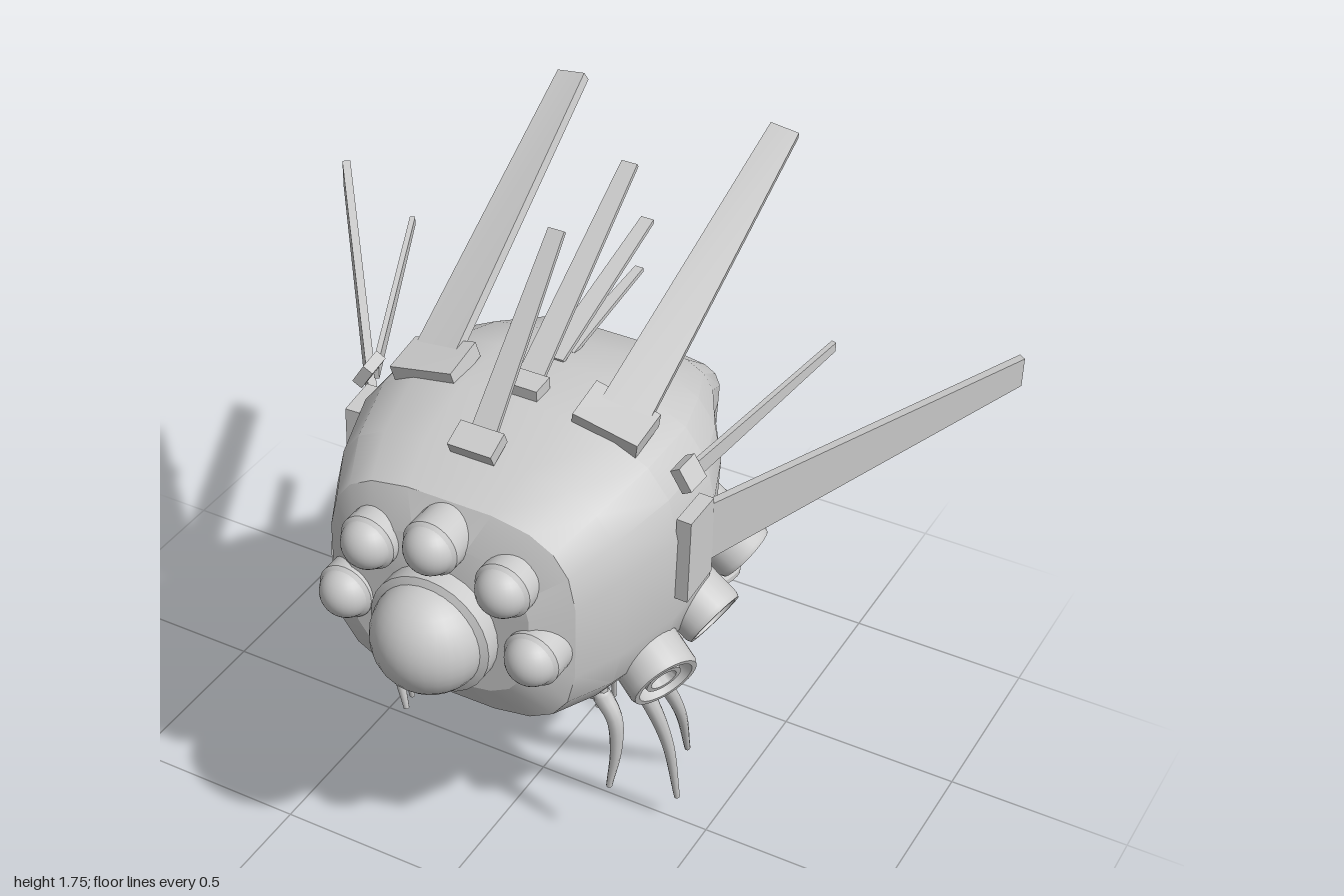
import * as THREE from 'three';
import { toCreasedNormals } from 'three/addons/utils/BufferGeometryUtils.js';

const V = (x, y, z) => new THREE.Vector3(x, y, z);
const UP = V(0, 1, 0);

export function createModel() {
  const model = new THREE.Group();
  const mat = new THREE.MeshStandardMaterial({ color: 0xcccccc });

  const add = (name, geo, parent = model) => {
    const m = new THREE.Mesh(geo, mat);
    m.name = name;
    parent.add(m);
    return m;
  };

  // Flat plate spanning four corners, thickened along its normal
  function slab(name, a, b, c, d, t) {
    const n = b.clone().sub(a).cross(d.clone().sub(a)).normalize();
    const geo = new THREE.BoxGeometry(1, 1, 1);
    const p = geo.attributes.position;
    for (let i = 0; i < p.count; i++) {
      const u = p.getX(i) + 0.5, v = p.getY(i) + 0.5;
      const q = a.clone().lerp(b, u).lerp(d.clone().lerp(c, u), v).addScaledVector(n, p.getZ(i) * t);
      p.setXYZ(i, q.x, q.y, q.z);
    }
    geo.computeVertexNormals();
    return add(name, geo);
  }

  // Tube along a curve, narrowing from r0 to r1
  function taper(name, curve, r0, r1, segs, sides) {
    const geo = new THREE.TubeGeometry(curve, segs, r0, sides);
    const p = geo.attributes.position;
    for (let i = 0; i <= segs; i++) {
      const c = curve.getPointAt(i / segs);
      const k = 1 + (r1 / r0 - 1) * i / segs;
      for (let j = 0; j <= sides; j++) {
        const id = i * (sides + 1) + j;
        const q = V(0, 0, 0).fromBufferAttribute(p, id).sub(c).multiplyScalar(k).add(c);
        p.setXYZ(id, q.x, q.y, q.z);
      }
    }
    return add(name, geo);
  }

  // Hull sections: top z,y, bottom z,y, half width, squareness
  const sections = [
    [0.50, 1.12, 0.52, 0.72, 0.25, 3],
    [0.45, 1.21, 0.45, 0.61, 0.345, 3.4],
    [0.33, 1.27, 0.32, 0.585, 0.405, 3.4],
    [0.15, 1.32, 0.15, 0.57, 0.46, 3.2],
    [-0.04, 1.325, -0.02, 0.58, 0.465, 3.2],
    [-0.20, 1.29, -0.14, 0.68, 0.41, 3.2],
    [-0.38, 1.21, -0.25, 0.82, 0.31, 3.8],
    [-0.54, 1.09, -0.33, 0.80, 0.25, 5],
    [-0.615, 0.80, -0.51, 0.67, 0.195, 5],
  ];
  const N = 20, pos = [], idx = [];
  const pw = (v, n) => Math.sign(v) * Math.abs(v) ** (2 / n);
  for (const [zt, yt, zb, yb, w, n] of sections) {
    for (let j = 0; j < N; j++) {
      const a = (j + 0.5) / N * Math.PI * 2, k = pw(Math.sin(a), n);
      pos.push(w * pw(Math.cos(a), n), (yt + yb) / 2 + k * (yt - yb) / 2, (zt + zb) / 2 + k * (zt - zb) / 2);
    }
  }
  const last = sections.length - 1, cap = sections.length * N;
  for (const [zt, yt, zb, yb] of [sections[0], sections[last]]) pos.push(0, (yt + yb) / 2, (zt + zb) / 2);
  for (let j = 0; j < N; j++) {
    const k = (j + 1) % N;
    for (let i = 0; i < last; i++) {
      const a = i * N + j, b = i * N + k;
      idx.push(a, a + N, b, b, a + N, b + N);
    }
    idx.push(cap, j, k, cap + 1, last * N + k, last * N + j);
  }
  const hull = new THREE.BufferGeometry();
  hull.setAttribute('position', new THREE.Float32BufferAttribute(pos, 3));
  hull.setIndex(idx);
  add('hull', toCreasedNormals(hull, 0.45));

  // Eyes: dome in a short socket
  function eye(name, x, y, z, r, ringR, depth) {
    const g = new THREE.Group();
    g.name = name;
    g.position.set(x, y, z);
    add('eyeball', new THREE.SphereGeometry(r, 28, 18), g);
    const prof = [[0.01, -depth], [ringR, -depth], [ringR, 0.005], [r * 0.97, 0.015]];
    const socket = new THREE.LatheGeometry(prof.map(p => new THREE.Vector2(...p)), 28);
    add('eyeSocket', toCreasedNormals(socket, 0.6), g).rotation.x = Math.PI / 2;
    model.add(g);
  }
  eye('mainEye', 0, 0.877, 0.55, 0.148, 0.166, 0.1);
  eye('topEye', 0, 1.128, 0.535, 0.068, 0.075, 0.12);
  for (const s of [1, -1]) {
    eye('upperEye', s * 0.187, 1.064, 0.52, 0.068, 0.075, 0.12);
    eye('lowerEye', s * 0.262, 0.882, 0.515, 0.068, 0.075, 0.12);
  }

  // Central antenna blades: root z,y, tip z,y, half widths
  for (const [z0, y0, z1, y1, w0, w1] of [
    [0.31, 1.28, -0.065, 1.68, 0.035, 0.022],
    [0.08, 1.32, -0.435, 1.68, 0.035, 0.022],
    [-0.05, 1.32, -0.54, 1.465, 0.028, 0.018],
    [-0.12, 1.30, -0.50, 1.34, 0.02, 0.012],
  ]) slab('antenna', V(-w0, y0, z0), V(w0, y0, z0), V(w1, y1, z1), V(-w1, y1, z1), 0.012);
  slab('antennaBase', V(-0.06, 1.28, 0.35), V(0.06, 1.28, 0.35), V(0.06, 1.31, 0.285), V(-0.06, 1.31, 0.285), 0.035);
  slab('antennaBase', V(-0.055, 1.33, 0.13), V(0.055, 1.33, 0.13), V(0.055, 1.335, 0.065), V(-0.055, 1.335, 0.065), 0.035);

  // Engine pods: end centre, outward direction, radius, length
  const pods = [
    [V(0.47, 0.67, 0.215), V(0.75, -0.35, 0.38), 0.095, 0.22],
    [V(0.49, 0.72, -0.01), V(0.8, -0.45, 0.12), 0.088, 0.26],
    [V(0.47, 0.78, -0.22), V(0.75, -0.58, -0.08), 0.085, 0.27],
    [V(0.36, 0.585, -0.06), V(0.58, -0.8, 0.1), 0.082, 0.22],
    [V(0.32, 0.575, -0.29), V(0.48, -0.86, 0.14), 0.112, 0.27],
    [V(0.41, 0.645, -0.165), V(0.65, -0.75, 0.05), 0.036, 0.2],
  ];
  function podGeometry(r, len) {
    const prof = [[0.01, -len], [r * 0.92, -len], [r, -len + 0.02], [r, -0.012], [r * 0.94, 0], [r * 0.8, 0],
      [r * 0.74, -r * 0.4], [r * 0.56, -r * 0.4], [r * 0.52, -r * 0.1], [r * 0.38, -r * 0.1],
      [r * 0.3, -r * 0.6], [0.001, -r * 0.6]];
    return toCreasedNormals(new THREE.LatheGeometry(prof.map(p => new THREE.Vector2(...p)), 28), 0.5);
  }

  // Legs: root, bend, lower bend, tip
  const legs = [
    [V(0.29, 0.55, 0.21), V(0.325, 0.49, 0.21), V(0.33, 0.38, 0.205), V(0.31, 0.24, 0.2)],
    [V(0.33, 0.57, 0.12), V(0.375, 0.47, 0.1), V(0.405, 0.32, 0.06), V(0.415, 0.095, 0.01)],
    [V(0.30, 0.55, 0.02), V(0.335, 0.46, -0.02), V(0.36, 0.29, -0.1), V(0.345, 0.08, -0.19)],
  ];

  for (const s of [1, -1]) {
    const M = (x, y, z) => V(s * x, y, z);

    // Large side fin and its mount
    slab('sideFin', M(0.47, 0.94, 0.05), M(0.47, 1.11, 0.05), M(0.995, 1.31, -0.645), M(0.995, 1.23, -0.645), 0.022);
    slab('sideFinBase', M(0.47, 0.89, 0.155), M(0.47, 1.125, 0.15), M(0.475, 1.135, 0.04), M(0.475, 0.91, 0.035), 0.04);
    // Small side fin and its mount
    slab('smallFin', M(0.445, 1.185, 0.07), M(0.445, 1.235, 0.07), M(0.605, 1.385, -0.37), M(0.605, 1.36, -0.37), 0.014);
    slab('smallFinBase', M(0.465, 1.195, 0.13), M(0.43, 1.25, 0.13), M(0.435, 1.255, 0.06), M(0.47, 1.2, 0.06), 0.03);
    // Tall top fin and its mount
    slab('topFin', M(0.20, 1.335, 0.08), M(0.325, 1.30, 0.08), M(0.34, 1.73, -0.685), M(0.262, 1.74, -0.685), 0.026);
    slab('topFinBase', M(0.165, 1.32, 0.155), M(0.34, 1.285, 0.155), M(0.34, 1.305, 0.035), M(0.165, 1.345, 0.035), 0.045);

    for (const [p, d, r, len] of pods) {
      const pod = add('enginePod', podGeometry(r, len));
      pod.position.set(s * p.x, p.y, p.z);
      pod.quaternion.setFromUnitVectors(UP, V(s * d.x, d.y, d.z).normalize());
    }

    for (const leg of legs) {
      const pts = leg.map(p => M(p.x, p.y, p.z));
      taper('leg', new THREE.CatmullRomCurve3(pts), 0.026, 0.008, 14, 10);
      // Shoulder arm running inward under the hull, with ball joints
      const inner = M(leg[0].x - 0.17, leg[0].y - 0.045, leg[0].z - 0.03);
      taper('legArm', new THREE.LineCurve3(inner, pts[0]), 0.014, 0.018, 1, 8);
      taper('legStrut', new THREE.LineCurve3(inner, M(leg[0].x - 0.17, 0.64, leg[0].z)), 0.014, 0.014, 1, 8);
      taper('legHip', new THREE.LineCurve3(pts[0], M(leg[0].x, 0.66, leg[0].z)), 0.016, 0.016, 1, 8);
      for (const p of [inner, pts[0]]) add('legJoint', new THREE.SphereGeometry(0.024, 12, 8)).position.copy(p);
    }
  }

  // Hanging wires: root x,z, tip x,y,z; kinked along the way
  const wires = [
    [-0.03, -0.18, -0.04, 0.10, -0.21], [-0.05, -0.20, -0.095, 0.30, -0.23], [0.05, -0.22, 0.10, 0.24, -0.26],
    [0.00, -0.24, 0.01, 0.005, -0.295], [-0.02, -0.27, -0.02, 0.07, -0.33], [0.03, -0.29, 0.03, 0.01, -0.355],
    [-0.01, -0.32, 0.00, 0.06, -0.33], [0.02, -0.34, 0.03, 0.16, -0.37], [0.00, -0.36, 0.04, 0.11, -0.42],
    [-0.03, -0.38, -0.04, 0.24, -0.41], [0.01, -0.22, -0.01, 0.19, -0.27],
  ];
  wires.forEach(([x0, z0, x1, y1, z1], i) => {
    const pts = [];
    for (let k = 0; k <= 5; k++) {
      const t = k / 5, amp = k % 5 ? 0.02 : 0;
      pts.push(V(
        x0 + (x1 - x0) * t + amp * Math.sin(i * 2.3 + k * 2.1),
        0.84 + (y1 - 0.84) * t,
        z0 + (z1 - z0) * t + amp * 1.4 * Math.cos(i * 1.7 + k * 2.6)));
    }
    const path = new THREE.CurvePath();
    for (let k = 0; k < 5; k++) path.add(new THREE.LineCurve3(pts[k], pts[k + 1]));
    taper('wire', path, 0.009, 0.007, 20, 6);
  });

  return model;
}
